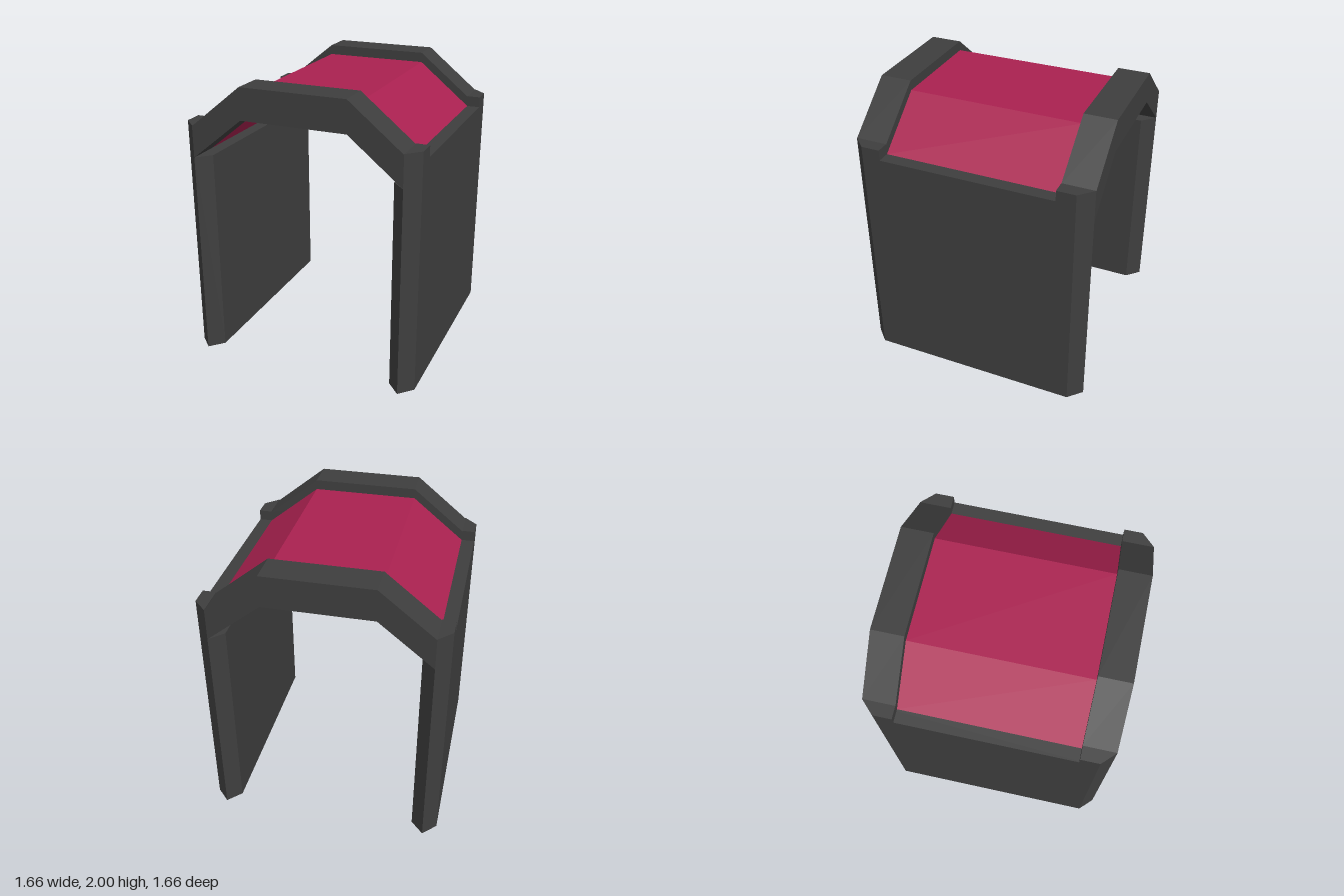
import * as THREE from 'three';

const dark = new THREE.MeshStandardMaterial({ color: 0x3e3e3e, flatShading: true });
const pink = new THREE.MeshStandardMaterial({ color: 0xaa2150, flatShading: true });

const IN = 0.65, MID = 0.74, OUT = 0.832;  // wall: inner face, ridge line, outer face
const END = 0.832, CUT = 0.74, RIB = 0.61; // depth: wall tip, chamfer start, rib inner face
const SPRING = 1.48, CROWN = 1.78;         // underside of the roof at the walls and in the middle

function extrude(points, depth) {
  const shape = new THREE.Shape(points.map(([x, y]) => new THREE.Vector2(x, y)));
  return new THREE.ExtrudeGeometry(shape, { depth, bevelEnabled: false });
}

// Plan outline in x and z, raised from y0 to y1
function prism(name, plan, y0, y1, side) {
  const geo = extrude(plan.map(([x, z]) => [x * side, -z]), y1 - y0);
  geo.rotateX(-Math.PI / 2);
  geo.translate(0, y0, 0);
  const mesh = new THREE.Mesh(geo, dark);
  mesh.name = name;
  return mesh;
}

// Three-sided roof band of a given vertical thickness, from z0 to z1
function roofBand(name, thickness, z0, z1, material) {
  const under = [[-MID, SPRING], [-0.37, CROWN], [0.37, CROWN], [MID, SPRING]];
  const over = under.map(([x, y]) => [x, y + thickness]).reverse();
  const geo = extrude([...under, ...over], z1 - z0);
  geo.translate(0, 0, z0);
  const mesh = new THREE.Mesh(geo, material);
  mesh.name = name;
  return mesh;
}

function createWall(side) {
  const wall = new THREE.Group();
  wall.name = side > 0 ? 'leftWall' : 'rightWall';
  // Main slab with pointed ends
  wall.add(prism('wallSlab', [
    [IN, -CUT], [MID, -END], [OUT, -CUT], [OUT, CUT], [MID, END], [IN, CUT],
  ], 0, SPRING, side));
  // Outer half rising beside the roof
  wall.add(prism('wallUpperEdge', [
    [MID, -END], [OUT, -CUT], [OUT, CUT], [MID, END],
  ], SPRING, 1.63, side));
  // Raised corners beside the ribs
  for (const s of [-1, 1]) {
    wall.add(prism('wallCorner', [
      [MID, s * RIB], [OUT, s * RIB], [OUT, s * CUT], [MID, s * END],
    ], 1.63, 1.705, side));
  }
  return wall;
}

export function createModel() {
  const model = new THREE.Group();
  model.name = 'archway';
  model.add(createWall(1), createWall(-1));
  // Thick end ribs with the thinner coloured roof between them
  model.add(roofBand('frontRib', 0.22, RIB, END, dark));
  model.add(roofBand('backRib', 0.22, -END, -RIB, dark));
  model.add(roofBand('roofPanel', 0.15, -RIB, RIB, pink));
  return model;
}
